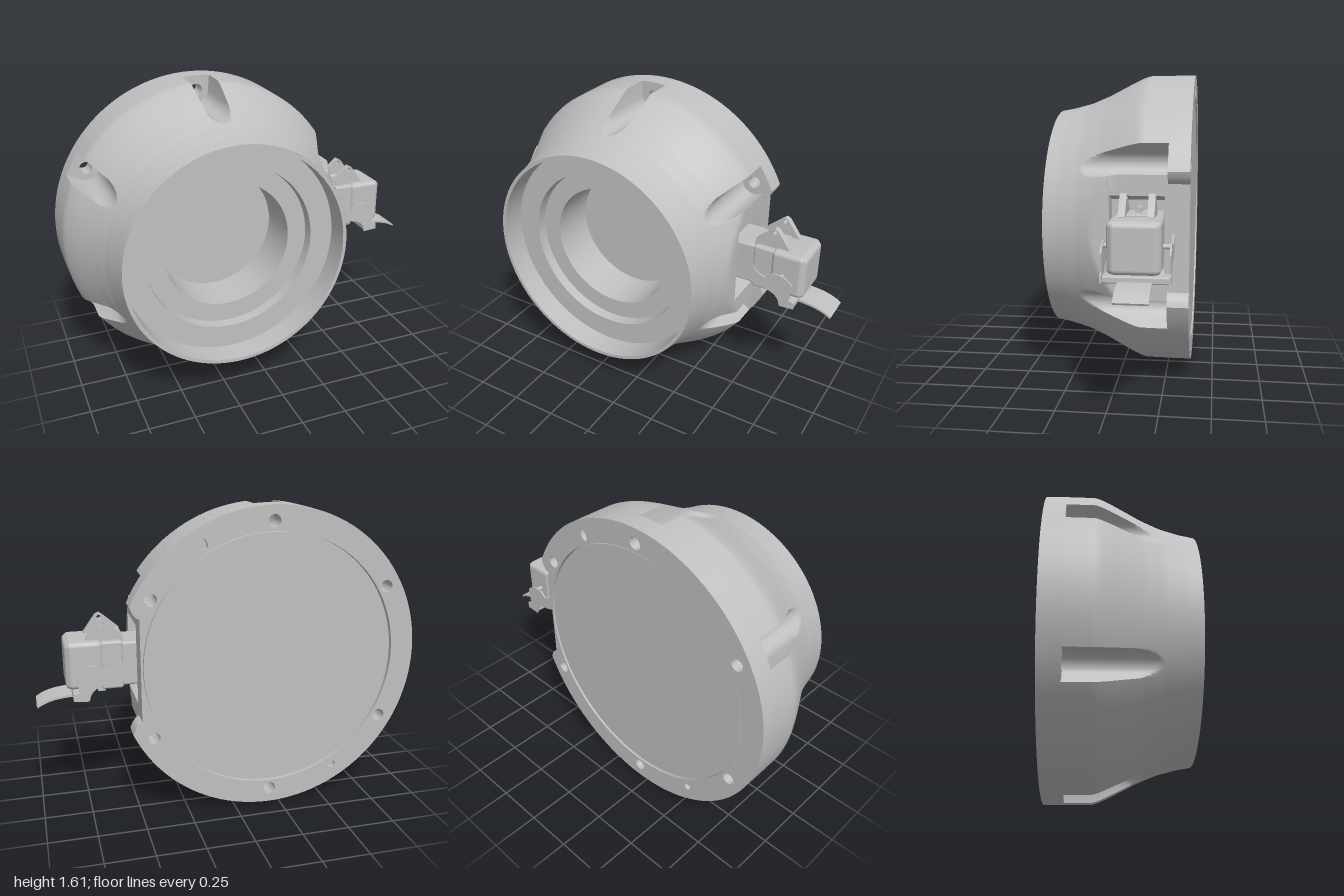
import * as THREE from 'three';
import { toCreasedNormals } from 'three/addons/utils/BufferGeometryUtils.js';
import { RoundedBoxGeometry } from 'three/addons/geometries/RoundedBoxGeometry.js';

const R = 0.805, BOLT_R = 0.725, POCKET_W = 0.068, FLAT = 0.685, FLOOR_Z = -0.27;
const BOLTS = [30, 90, 150, 210, 270, 330].map(THREE.MathUtils.degToRad);
const EPS = 1e-4;
const grey = new THREE.MeshStandardMaterial({ color: 0xc0c0c0, side: THREE.DoubleSide });
grey.name = 'casting grey';

function add(parent, name, geometry, x = 0, y = 0, z = 0) {
  const mesh = new THREE.Mesh(geometry, grey);
  mesh.name = name;
  mesh.position.set(x, y, z);
  parent.add(mesh);
  return mesh;
}

function extrude(shape, depth, curveSegments = 24) {
  return toCreasedNormals(new THREE.ExtrudeGeometry(shape, { depth, bevelEnabled: false, curveSegments }), 0.5);
}

function polygon(points) {
  return new THREE.Shape(points.map(([x, y]) => new THREE.Vector2(x, y)));
}

// Outer radius of the plain housing along z
const PROFILE = [[-0.27, 0.805], [-0.13, 0.803], [-0.1, 0.793], [-0.05, 0.77], [0, 0.744], [0.1, 0.692],
  [0.2, 0.65], [0.3, 0.623], [0.375, 0.609]];
function profile(z) {
  for (let i = 1; i < PROFILE.length; i++) {
    const [z0, r0] = PROFILE[i - 1], [z1, r1] = PROFILE[i];
    if (z <= z1) return r0 + (r1 - r0) * (z - z0) / (z1 - z0);
  }
  return PROFILE[PROFILE.length - 1][1];
}

// Connector recess in the flat side: half height and z limits
const RECESS = { h: 0.21, z0: -0.255, z1: 0.02, floor: 0.58 };

// Housing radius with the flat, the recess and the bolt pockets cut away
function housingRadius(a, z) {
  let r = profile(z);
  if (Math.cos(a) > 0.9) {
    const inRecess = Math.abs(Math.tan(a)) * FLAT < RECESS.h && z > RECESS.z0 && z < RECESS.z1;
    r = Math.min(r, (inRecess ? RECESS.floor : FLAT) / Math.cos(a));
  }
  for (const b of BOLTS) {
    const s = BOLT_R * Math.sin(a - b), c = Math.cos(a - b);
    if (c > 0 && Math.abs(s) < POCKET_W) {
      r = Math.min(r, BOLT_R * c - Math.sqrt(POCKET_W ** 2 - s * s));
    }
  }
  return r;
}

function housingGeometry() {
  const angles = [], rows = [];
  for (let i = 0; i < 120; i++) angles.push(i * Math.PI / 60);
  for (const b of BOLTS) {
    for (const k of [0.25, 0.5, 0.7, 0.85, 0.95, 0.999, 1.001]) {
      const d = Math.asin(k * POCKET_W / BOLT_R);
      angles.push(b - d, b + d);
    }
  }
  const edge = Math.atan(RECESS.h / FLAT);
  for (const e of [edge - EPS, edge + EPS]) angles.push(e, 2 * Math.PI - e);
  angles.sort((p, q) => p - q);
  angles.push(2 * Math.PI);
  for (let i = 0; i <= 43; i++) rows.push(FLOOR_Z + 0.645 * i / 43);
  for (const z of [RECESS.z0, RECESS.z1]) rows.push(z - EPS, z + EPS);
  rows.sort((p, q) => p - q);

  const pos = [], index = [], n = angles.length;
  for (const z of rows) {
    for (const a of angles) {
      const r = housingRadius(a, z);
      pos.push(r * Math.cos(a), r * Math.sin(a), z);
    }
  }
  for (let i = 0; i < rows.length - 1; i++) {
    for (let j = 0; j < n - 1; j++) {
      if (angles[j + 1] - angles[j] < 1e-7) continue;
      const a = i * n + j, d = a + n;
      index.push(a, a + 1, d + 1, a, d + 1, d);
    }
  }
  const g = new THREE.BufferGeometry();
  g.setAttribute('position', new THREE.Float32BufferAttribute(pos, 3));
  g.setIndex(index);
  return toCreasedNormals(g, 0.5);
}

// Flange outline: a circle with a flat on its left and rounded ears beside it
function flangeShape() {
  const a = THREE.MathUtils.degToRad(24.5), s = new THREE.Shape();
  s.absarc(0, 0, R, a, 2 * Math.PI - a, false);
  s.quadraticCurveTo(0.715, -0.28, FLAT, -0.27);
  s.lineTo(FLAT, 0.27);
  s.quadraticCurveTo(0.715, 0.28, R * Math.cos(a), R * Math.sin(a));
  for (const b of BOLTS) hole(s, b, 0.033, 0.033);
  return s;
}

function hole(shape, angle, rx, ry) {
  const p = new THREE.Path();
  p.absellipse(BOLT_R * Math.cos(angle), BOLT_R * Math.sin(angle), rx, ry, 0, 2 * Math.PI, true, angle);
  shape.holes.push(p);
}

function createHousing() {
  const g = new THREE.Group();
  g.name = 'housing';
  add(g, 'outerShell', housingGeometry());

  // Stepped bore
  const bore = [[0.609, 0.375], [0.59, 0.375], [0.588, 0.245], [0.46, 0.245], [0.455, 0.19], [0.35, 0.19],
    [0.343, -0.05], [0, -0.05]].map(([r, z]) => new THREE.Vector2(r, z));
  const boreGeo = new THREE.LatheGeometry(bore, 64).rotateX(Math.PI / 2);
  add(g, 'steppedBore', toCreasedNormals(boreGeo, 0.5));

  // Bolt flange, rear rim and inset back cover
  add(g, 'boltFlange', extrude(flangeShape(), 0.08, 48), 0, 0, -0.35);
  const rim = flangeShape();
  const seat = new THREE.Path();
  seat.absarc(0, 0, 0.678, 0, 2 * Math.PI, true);
  rim.holes.push(seat);
  hole(rim, Math.PI / 3, 0.032, 0.018);
  hole(rim, Math.PI * 4 / 3, 0.02, 0.02);
  add(g, 'rearRim', extrude(rim, 0.028, 48), 0, 0, -0.378);
  add(g, 'backCover', new THREE.CylinderGeometry(0.67, 0.67, 0.022, 96).rotateX(Math.PI / 2), 0, 0, -0.36);
  return g;
}

function createConnector() {
  const g = new THREE.Group();
  g.name = 'connector';
  const box = (name, x0, x1, y0, y1, z0, z1, r = 0.012) => add(g, name,
    new RoundedBoxGeometry(x1 - x0, y1 - y0, z1 - z0, 3, r), (x0 + x1) / 2, (y0 + y1) / 2, (z0 + z1) / 2);

  // Socket, collar and hood
  box('socketBase', 0.37, 0.64, 0.7, 0.93, -0.25, -0.04);
  box('socketCollar', 0.56, 0.67, 0.69, 0.94, -0.26, -0.025);
  box('gasket', 0.63, 0.68, 0.72, 0.92, -0.25, -0.03, 0.005);
  box('hood', 0.66, 0.84, 0.7, 0.945, -0.265, -0.015, 0.025);
  box('hoodFace', 0.7, 0.85, 0.7, 0.94, -0.255, -0.025, 0.025);

  // Hinge ears on top
  const ear = polygon([[0.55, 0.92], [0.555, 0.965], [0.635, 1.035], [0.655, 1.05], [0.675, 1.04], [0.74, 0.95],
    [0.74, 0.92]]);
  const pinHole = new THREE.Path();
  pinHole.absarc(0.657, 1.028, 0.011, 0, 2 * Math.PI, true);
  ear.holes.push(pinHole);
  for (const z of [-0.09, -0.225]) add(g, 'hingeEar', extrude(ear, 0.033), 0, 0, z);
  add(g, 'lockScrew', new THREE.CylinderGeometry(0.016, 0.016, 0.06, 20).rotateZ(Math.PI / 2), 0.6, 0.965, -0.14);
  box('hingeBridge', 0.55, 0.7, 0.925, 0.955, -0.2, -0.08, 0.006);

  // Hooked lever plates on both sides
  const lever = new THREE.Shape();
  lever.moveTo(0.54, 0.8);
  lever.quadraticCurveTo(0.55, 0.845, 0.585, 0.845);
  lever.quadraticCurveTo(0.6, 0.805, 0.65, 0.8);
  lever.bezierCurveTo(0.68, 0.845, 0.76, 0.85, 0.8, 0.79);
  lever.lineTo(0.79, 0.7);
  lever.lineTo(0.82, 0.69);
  lever.lineTo(0.82, 0.655);
  lever.lineTo(0.74, 0.65);
  lever.quadraticCurveTo(0.735, 0.72, 0.65, 0.73);
  lever.quadraticCurveTo(0.56, 0.74, 0.54, 0.8);
  for (const z of [-0.308, 0.01]) add(g, 'sideLever', extrude(lever, 0.008), 0, 0, z);
  add(g, 'leverPin', new THREE.CylinderGeometry(0.012, 0.012, 0.32, 16).rotateX(Math.PI / 2), 0.73, 0.815, -0.145);

  // Lever bar with its curved pull tab
  box('leverBar', 0.74, 0.82, 0.655, 0.69, -0.3, 0.01, 0.008);
  box('lowerStop', 0.65, 0.69, 0.67, 0.71, -0.23, -0.06, 0.006);
  const tab = new THREE.Shape();
  tab.moveTo(0.75, 0.668);
  tab.bezierCurveTo(0.85, 0.665, 0.93, 0.665, 1, 0.617);
  tab.lineTo(0.995, 0.608);
  tab.bezierCurveTo(0.93, 0.652, 0.85, 0.653, 0.75, 0.656);
  add(g, 'pullTab', extrude(tab, 0.16), 0, 0, -0.225);
  return g;
}

export function createModel() {
  const model = new THREE.Group();
  model.name = 'connectorHousing';
  const housing = createHousing();
  housing.position.set(-0.195, R, 0);
  model.add(housing, createConnector());
  return model;
}
